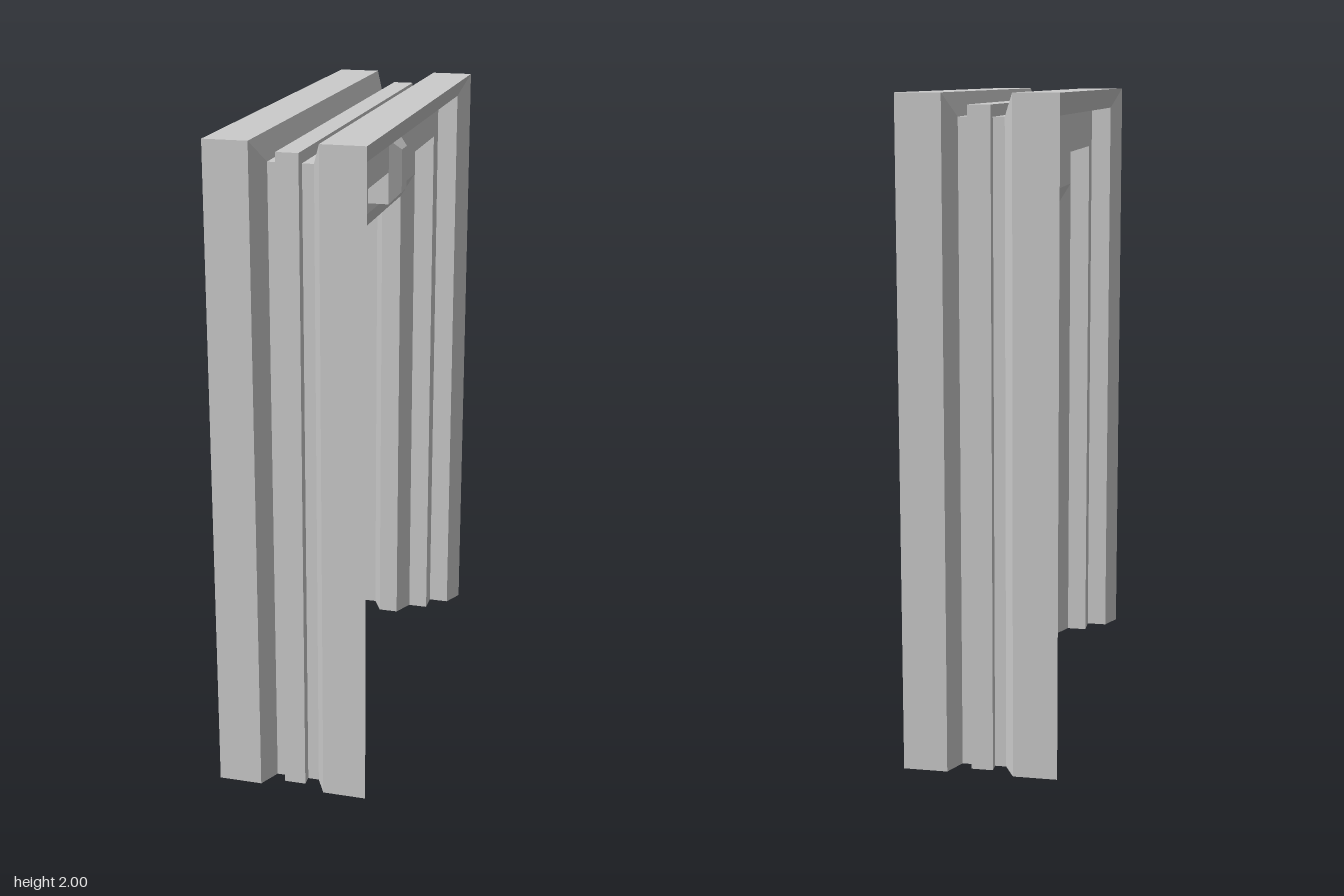
import * as THREE from 'three';

const material = () => new THREE.MeshStandardMaterial({ color: 0xcccccc, flatShading: true });

// Half of the moulding section, outer side to opening: [x, z on the legs, y on the lintel]
const HALF = [
  [0.033, 0.7, 1.967], [0.033, 0.667, 1.933], [0.067, 0.667, 1.933],
  [0.1, 0.733, 2], [0.233, 0.733, 2], [0.2, 0.667, 1.933],
  [0.133, 0.667, 1.933], [0.133, 0.6, 1.8], [0.067, 0.6, 1.8],
  [0.067, 0.6, 1.667], [0.033, 0.533, 1.6],
];

// Sweep the section up one leg, across the lintel and down the other leg, with mitred corners
function frameGeometry() {
  const section = [...HALF, ...HALF.map(([x, z, y]) => [-x, z, y]).reverse()];
  const stations = [
    ([x, z]) => new THREE.Vector3(x, 0, z),
    ([x, z, y]) => new THREE.Vector3(x, y, z),
    ([x, z, y]) => new THREE.Vector3(x, y, -z),
    ([x, z]) => new THREE.Vector3(x, 0, -z),
  ];
  const pos = [];
  const tri = (a, b, c) => {
    if (new THREE.Triangle(a, b, c).getArea() < 1e-7) return;
    for (const p of [a, b, c]) pos.push(p.x, p.y, p.z);
  };
  for (let s = 0; s < 3; s++) {
    section.forEach((p, i) => {
      const q = section[(i + 1) % section.length];
      const a = stations[s](p), b = stations[s](q);
      const c = stations[s + 1](q), d = stations[s + 1](p);
      tri(a, b, c);
      tri(a, c, d);
    });
  }
  // Feet of both legs
  const foot = section
    .filter(([, , y]) => y !== 1.667)
    .map(([x, z]) => new THREE.Vector2(x, z))
    .reverse();
  for (const [i, j, k] of THREE.ShapeUtils.triangulateShape(foot, [])) {
    const at = (n, side) => new THREE.Vector3(foot[n].x, 0, side * foot[n].y);
    tri(at(i, 1), at(j, 1), at(k, 1));
    tri(at(i, -1), at(k, -1), at(j, -1));
  }
  const geometry = new THREE.BufferGeometry();
  geometry.setAttribute('position', new THREE.Float32BufferAttribute(pos, 3));
  geometry.computeVertexNormals();
  return geometry;
}

// Block whose +x face is narrowed to a bevelled front
function bevelledGeometry(depth, height, width, inset) {
  const geometry = new THREE.BoxGeometry(depth, height, width).toNonIndexed();
  const p = geometry.attributes.position;
  for (let i = 0; i < p.count; i++) {
    if (p.getX(i) > 0) {
      p.setY(i, p.getY(i) - Math.sign(p.getY(i)) * inset);
      p.setZ(i, p.getZ(i) - Math.sign(p.getZ(i)) * inset);
    }
  }
  geometry.computeVertexNormals();
  return geometry;
}

export function createModel() {
  const model = new THREE.Group();
  model.name = 'doorFrame';
  const add = (name, geometry, parent = model) => {
    const mesh = new THREE.Mesh(geometry, material());
    mesh.name = name;
    parent.add(mesh);
    return mesh;
  };

  add('frameMoulding', frameGeometry());

  // Keystone on one side of the lintel only
  const keystone = new THREE.Group();
  keystone.name = 'keystone';
  keystone.position.y = 1.8;
  model.add(keystone);
  add('keystoneBase', new THREE.BoxGeometry(0.066, 0.2, 0.133), keystone).position.x = 0.1;
  add('keystoneBevel', bevelledGeometry(0.034, 0.2, 0.133, 0.033), keystone).position.x = 0.15;

  return model;
}
